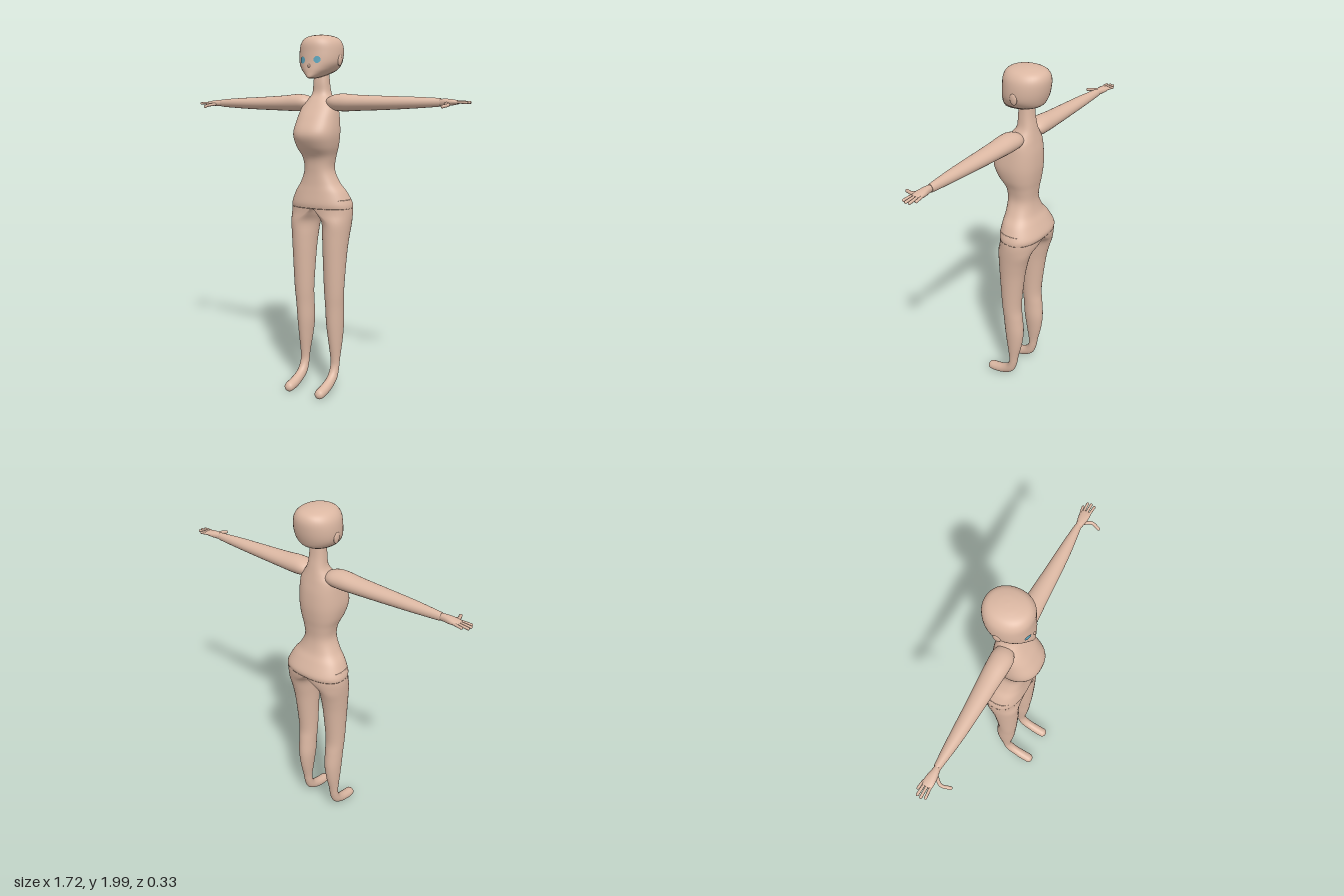
import * as THREE from 'three';

const skin = new THREE.MeshStandardMaterial({ color: 0xdcb8a3 });
skin.name = 'skin';
const iris = new THREE.MeshStandardMaterial({ color: 0x5fa9c2 });
iris.name = 'iris blue';

// Catmull-Rom blend of the section rows
function smoothRows(rows, steps) {
  const out = [];
  const last = rows.length - 1;
  for (let i = 0; i < last; i++) {
    const [a, b, c, d] = [rows[Math.max(i - 1, 0)], rows[i], rows[i + 1], rows[Math.min(i + 2, last)]];
    for (let s = 0; s < steps; s++) {
      const t = s / steps;
      out.push(b.map((v, k) => v + 0.5 * t * (c[k] - a[k] + t * (2 * a[k] - 5 * v + 4 * c[k] - d[k]
        + t * (3 * (v - c[k]) + d[k] - a[k])))));
    }
  }
  out.push(rows[last]);
  return out;
}

// Skin over rows running downwards: [y, centre x, half width, front z, back z, tilt, half-body blend]
function loft(rows, power = 2, sides = 32, steps = 5) {
  const rings = smoothRows(rows, steps);
  const pos = [], idx = [];
  const bend = (v, p) => Math.sign(v) * Math.abs(v) ** (2 / p);
  for (const [y, cx, w, zf, zb, tilt = 0, half = 0] of rings) {
    const p = power + 0.4 * half;
    for (let i = 0; i < sides; i++) {
      const a = (i / sides) * Math.PI * 2;
      const c = bend(Math.cos(a), p), s = bend(Math.sin(a), p) * (zf - zb) / 2;
      const x = (cx + w * c) * (1 - half) + Math.max(0, c) * (cx + w) * half;
      pos.push(x, y + s * Math.sin(tilt), (zf + zb) / 2 + s * Math.cos(tilt));
    }
  }
  const n = rings.length;
  for (let j = 0; j < n - 1; j++) {
    for (let i = 0; i < sides; i++) {
      const a = j * sides + i, b = j * sides + (i + 1) % sides;
      idx.push(a, b, a + sides, b, b + sides, a + sides);
    }
  }
  // end caps
  for (const [ring, flip] of [[0, true], [n - 1, false]]) {
    const [y, cx, , zf, zb] = rings[ring];
    const centre = pos.length / 3;
    pos.push(cx, y, (zf + zb) / 2);
    for (let i = 0; i < sides; i++) {
      const a = ring * sides + i, b = ring * sides + (i + 1) % sides;
      idx.push(...(flip ? [b, a, centre] : [a, b, centre]));
    }
  }
  const geo = new THREE.BufferGeometry();
  geo.setAttribute('position', new THREE.Float32BufferAttribute(pos, 3));
  geo.setIndex(idx);
  geo.computeVertexNormals();
  return geo;
}

function mirrored(geo) {
  const g = geo.clone().scale(-1, 1, 1);
  const ix = g.index.array;
  for (let i = 0; i < ix.length; i += 3) [ix[i], ix[i + 1]] = [ix[i + 1], ix[i]];
  return g;
}

export function createModel() {
  const model = new THREE.Group();
  model.name = 'figure';
  const add = (geo, name, mat = skin) => {
    const m = new THREE.Mesh(geo, mat);
    m.name = name;
    model.add(m);
  };
  const pair = (geo, name, mat) => {
    add(geo, 'left' + name, mat);
    add(mirrored(geo), 'right' + name, mat);
  };

  // Neck, chest, waist and hips
  add(loft([
    [1.83, 0, 0.04, -0.01, -0.075],
    [1.75, 0, 0.044, 0, -0.08],
    [1.69, 0, 0.052, 0.004, -0.09],
    [1.65, 0, 0.075, 0.03, -0.097],
    [1.61, 0, 0.102, 0.058, -0.104],
    [1.55, 0, 0.114, 0.098, -0.113],
    [1.47, 0, 0.121, 0.136, -0.116],
    [1.40, 0, 0.11, 0.11, -0.11],
    [1.34, 0, 0.09, 0.066, -0.101],
    [1.27, 0, 0.083, 0.055, -0.096],
    [1.20, 0, 0.113, 0.055, -0.11],
    [1.15, 0, 0.15, 0.06, -0.135],
    [1.09, 0, 0.178, 0.067, -0.163],
    [1.06, 0, 0.182, 0.063, -0.161],
  ], 2.4, 48), 'torso');

  // Leg and foot, opening out of one half of the hips
  pair(loft([
    [1.11, 0.086, 0.085, 0.064, -0.153, 0, 1],
    [1.07, 0.091, 0.090, 0.063, -0.160, 0, 1],
    [1.03, 0.095, 0.089, 0.059, -0.153, 0, 0.5],
    [0.98, 0.101, 0.081, 0.058, -0.135, 0, 0],
    [0.90, 0.102, 0.073, 0.057, -0.112, 0, 0],
    [0.80, 0.101, 0.066, 0.054, -0.093, 0, 0],
    [0.60, 0.100, 0.056, 0.044, -0.072, 0, 0],
    [0.50, 0.099, 0.051, 0.036, -0.080, 0, 0],
    [0.40, 0.098, 0.048, 0.029, -0.088, 0, 0],
    [0.30, 0.100, 0.039, 0.017, -0.078, 0, 0],
    [0.20, 0.102, 0.028, 0.003, -0.056, 0, 0],
    [0.145, 0.102, 0.026, 0.004, -0.046, 0.25, 0],
    [0.095, 0.102, 0.027, 0.029, -0.029, 0.75, 0],
    [0.063, 0.102, 0.027, 0.072, 0.012, 1.15, 0],
    [0.043, 0.102, 0.029, 0.125, 0.065, 1.4, 0],
    [0.034, 0.102, 0.028, 0.171, 0.117, 1.5, 0],
    [0.032, 0.102, 0.018, 0.177, 0.143, 1.55, 0],
    [0.032, 0.102, 0.003, 0.169, 0.163, 1.57, 0],
  ], 2, 32), 'Leg');

  // Arm, laid out downwards and then turned to point sideways
  pair(loft([
    [-0.04, 1.635, 0.02, 0, -0.06],
    [-0.09, 1.638, 0.041, 0.03, -0.08],
    [-0.15, 1.638, 0.047, 0.034, -0.081],
    [-0.24, 1.636, 0.042, 0.028, -0.076],
    [-0.40, 1.635, 0.036, 0.019, -0.066],
    [-0.55, 1.636, 0.030, 0.008, -0.058],
    [-0.69, 1.637, 0.022, -0.009, -0.048],
    [-0.705, 1.637, 0.019, -0.012, -0.044],
  ], 2, 28).rotateZ(Math.PI / 2), 'Arm');

  // Palm
  pair(loft([
    [-0.69, 1.637, 0.015, -0.015, -0.041],
    [-0.725, 1.637, 0.018, -0.008, -0.046],
    [-0.76, 1.637, 0.016, -0.002, -0.054],
    [-0.79, 1.637, 0.011, -0.001, -0.055],
    [-0.805, 1.637, 0.006, -0.006, -0.05],
  ], 2.2, 20).rotateZ(Math.PI / 2), 'Palm');

  // Fingers and thumb: tubes with round tips
  const digits = {
    LittleFinger: [[0.77, 1.637, -0.047], [0.80, 1.637, -0.055], [0.825, 1.635, -0.058], 0.0065],
    RingFinger: [[0.78, 1.638, -0.038], [0.82, 1.638, -0.043], [0.852, 1.636, -0.045], 0.007],
    MiddleFinger: [[0.78, 1.638, -0.025], [0.82, 1.638, -0.026], [0.855, 1.636, -0.026], 0.007],
    IndexFinger: [[0.78, 1.637, -0.011], [0.82, 1.637, -0.008], [0.848, 1.635, -0.006], 0.007],
    Thumb: [[0.735, 1.632, -0.018], [0.766, 1.624, 0.022], [0.755, 1.616, 0.066], 0.0085],
  };
  for (const [name, [a, b, c, r]] of Object.entries(digits)) {
    const path = new THREE.CatmullRomCurve3([a, b, c].map(p => new THREE.Vector3(...p)));
    pair(new THREE.TubeGeometry(path, 10, r, 10), name);
    pair(new THREE.SphereGeometry(r, 10, 8).translate(...c), name + 'Tip');
  }

  // Head
  const headRows = [
    [2.0, 0, 0.006, -0.04, -0.052],
    [1.996, 0, 0.045, 0.008, -0.096],
    [1.982, 0, 0.085, 0.055, -0.142],
    [1.95, 0, 0.11, 0.077, -0.162],
    [1.90, 0, 0.118, 0.081, -0.161],
    [1.85, 0, 0.113, 0.084, -0.149],
    [1.815, 0, 0.09, 0.089, -0.13],
    [1.793, 0, 0.062, 0.091, -0.085],
    [1.775, 0, 0.032, 0.092, -0.02],
    [1.766, 0, 0.014, 0.088, 0.03],
  ];
  add(loft(headRows, 2.1, 40), 'head');
  add(new THREE.SphereGeometry(0.01, 12, 8).scale(0.7, 1, 0.8).translate(0, 1.83, 0.086), 'nose');

  // Ears
  pair(new THREE.SphereGeometry(1, 20, 14).scale(0.009, 0.03, 0.021)
    .rotateZ(-0.06).translate(0.114, 1.862, -0.042), 'Ear');

  // Eyes: thin discs that follow the curve of the face
  const eye = new THREE.CircleGeometry(0.018, 20).translate(0.045, 1.862, 0);
  const p = eye.attributes.position;
  for (let i = 0; i < p.count; i++) {
    const bow = (1 - (p.getX(i) / 0.115) ** 2.1) ** (1 / 2.1);
    p.setZ(i, -0.035 + 0.118 * bow + 0.004);
  }
  eye.computeVertexNormals();
  pair(eye, 'Eye', iris);

  return model;
}
